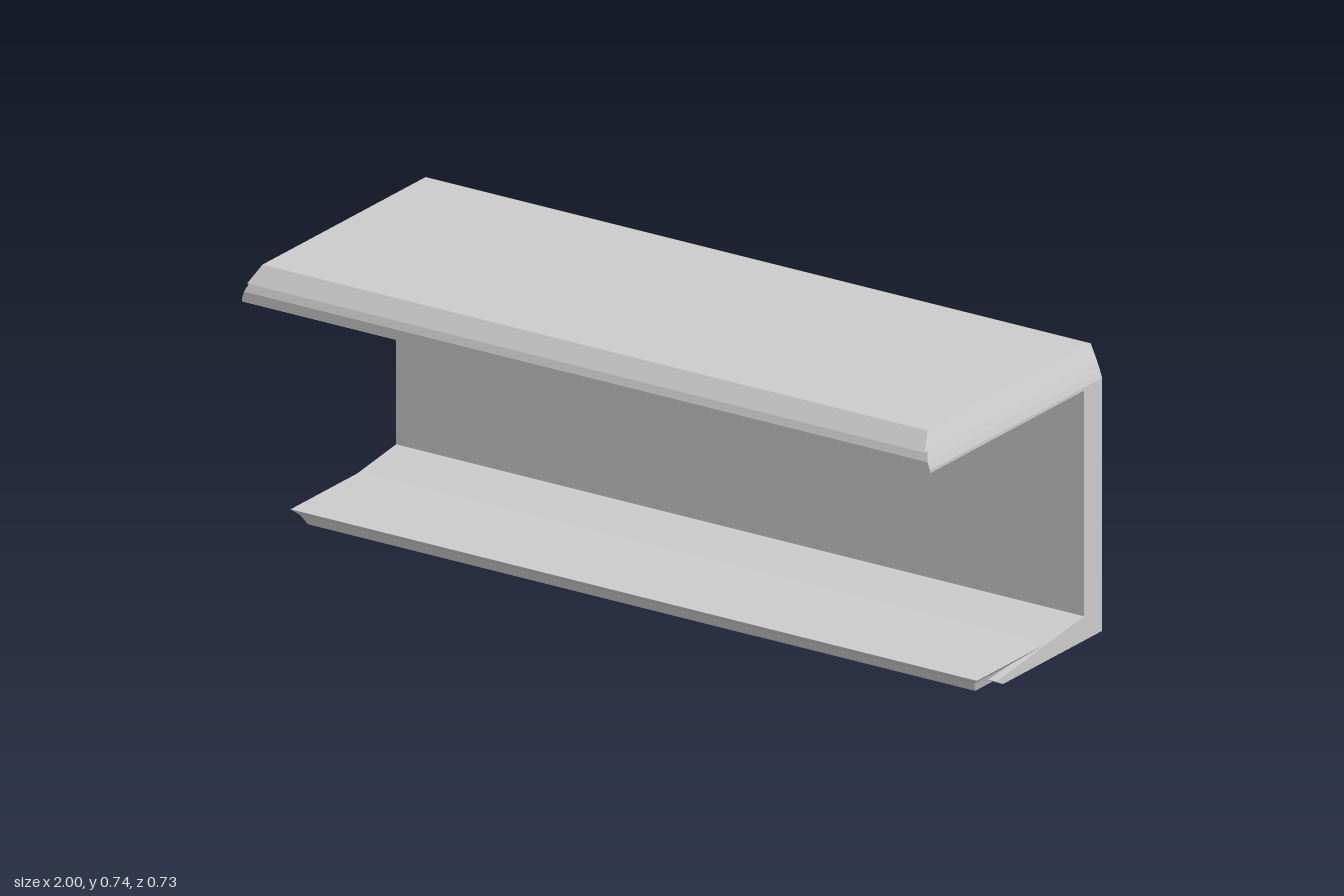
import * as THREE from 'three';

const material = new THREE.MeshStandardMaterial({
  color: 0xcccccc, flatShading: true, side: THREE.DoubleSide,
});

function quadGeometry(quads) {
  const pos = [];
  for (const [a, b, c, d] of quads) pos.push(...a, ...b, ...c, ...a, ...c, ...d);
  const g = new THREE.BufferGeometry();
  g.setAttribute('position', new THREE.Float32BufferAttribute(pos, 3));
  g.computeVertexNormals();
  return g;
}

// Stacked rectangular rings [y, halfWidth, frontZ] sharing one flat back plane
function moulding(rings, backZ, { bottom = true, back = true } = {}) {
  const loops = rings.map(([y, w, f]) => [[-w, y, f], [w, y, f], [w, y, backZ], [-w, y, backZ]]);
  const quads = [];
  for (let i = 0; i < loops.length - 1; i++) {
    for (let k = 0; k < 4; k++) {
      if (k === 2 && !back) continue;
      const n = (k + 1) % 4;
      quads.push([loops[i][k], loops[i][n], loops[i + 1][n], loops[i + 1][k]]);
    }
  }
  quads.push(loops[loops.length - 1]);
  if (bottom) quads.push([...loops[0]].reverse());
  return quadGeometry(quads);
}

// Profile of [z, y] points swept across the full width
function sweep(points) {
  const quads = [];
  for (let i = 0; i < points.length - 1; i++) {
    const [z0, y0] = points[i], [z1, y1] = points[i + 1];
    quads.push([[-1, y0, z0], [-1, y1, z1], [1, y1, z1], [1, y0, z0]]);
  }
  return quadGeometry(quads);
}

export function createModel() {
  const group = new THREE.Group();
  const add = (name, geometry) => {
    const mesh = new THREE.Mesh(geometry, material);
    mesh.name = name;
    group.add(mesh);
    return mesh;
  };
  const back = -0.367;

  // Top slab: stepped lower edge and bevelled upper edge
  add('topSlabLower', moulding([
    [0.645, 1, 0.367], [0.653, 1, 0.367], [0.672, 0.994, 0.367], [0.695, 0.985, 0.355],
  ], back));
  add('topSlabUpper', moulding([[0.695, 0.985, 0.367], [0.735, 0.967, 0.328]], back));

  // Upright wall running into a sloping foot, open underneath
  const profile = [
    [0.055, 0], [0.083, 0.015], [-0.29, 0.063], [-0.29, 0.645], [back, 0.645], [back, 0],
  ];
  add('wallAndFoot', sweep(profile));

  // End panels closing the wall and foot
  const shape = new THREE.Shape(profile.map(([z, y]) => new THREE.Vector2(z, y)));
  for (const side of [-1, 1]) {
    const panel = new THREE.ShapeGeometry(shape).rotateY(-Math.PI / 2);
    add(side > 0 ? 'leftEndPanel' : 'rightEndPanel', panel).position.x = side;
  }

  // Shelf lip with an undercut edge, open underneath
  add('shelfLip', moulding([
    [0, 0.97, 0.13], [0.027, 0.98, 0.148], [0.043, 0.998, 0.163],
  ], -0.135, { bottom: false, back: false }));

  return group;
}
